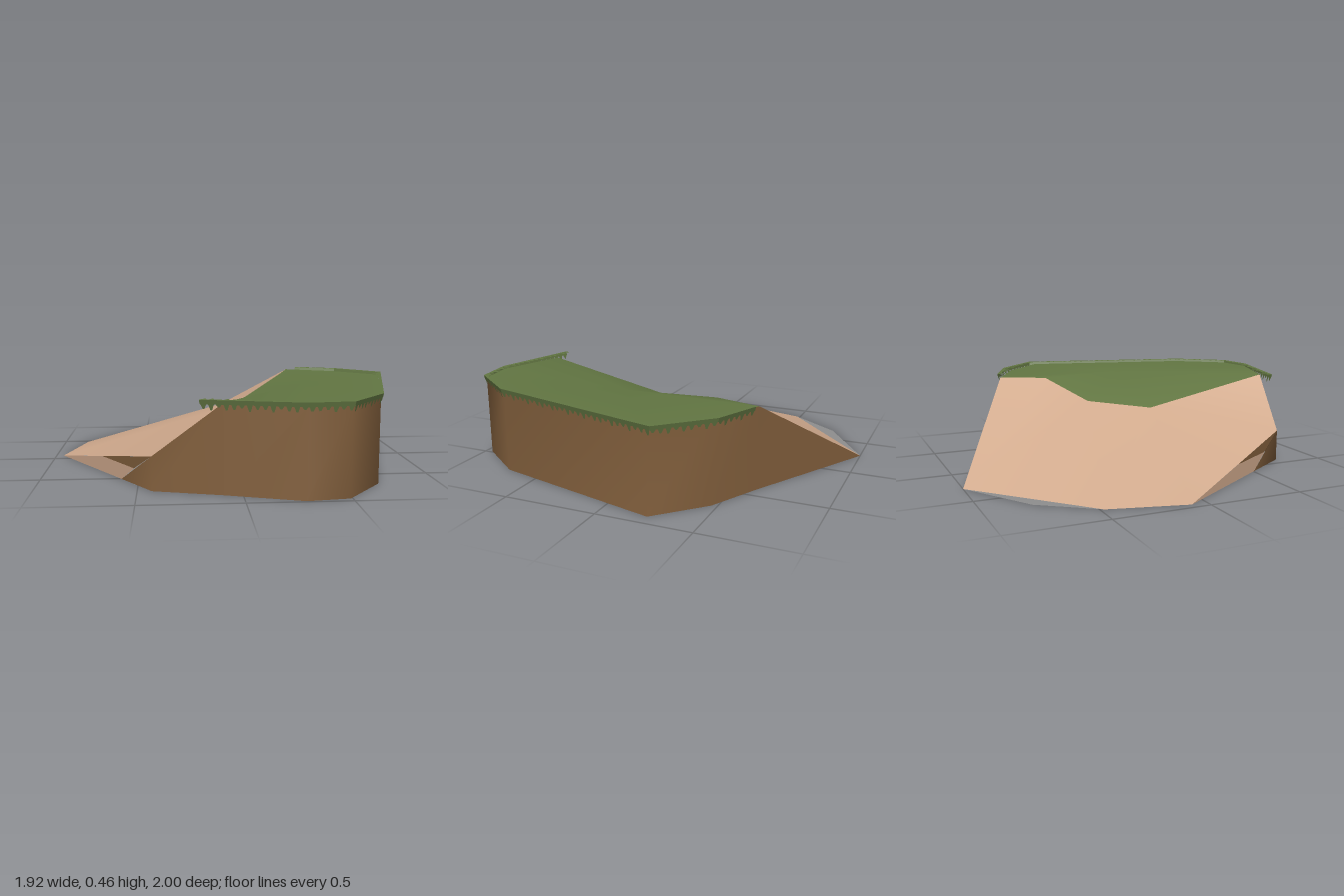
import * as THREE from 'three';

const mat = (name, color) => {
  const m = new THREE.MeshStandardMaterial({ color, side: THREE.DoubleSide });
  m.name = name;
  return m;
};

// indexed surface from points and triangles, smooth normals
function surface(points, faces) {
  const g = new THREE.BufferGeometry();
  g.setAttribute('position', new THREE.Float32BufferAttribute(points.flat(), 3));
  g.setIndex(faces.flat());
  g.computeVertexNormals();
  return g;
}

// turn the faces of a geometry over
function flip(g) {
  const ix = g.index.array;
  for (let i = 0; i < ix.length; i += 3) [ix[i], ix[i + 1]] = [ix[i + 1], ix[i]];
  g.computeVertexNormals();
  return g;
}

// flat strip with a ragged toothed edge; s runs along it, d across it
function toothedStrip(length, solid, tooth, seed) {
  const n = Math.max(2, Math.round(length / 0.036));
  const w = length / n;
  const s = new THREE.Shape();
  s.moveTo(0, 0);
  s.lineTo(0, solid);
  for (let i = 0; i < n; i++) {
    const d = solid + tooth * (0.8 + 0.3 * Math.sin(i * 2.3 + seed));
    s.lineTo((i + 0.14) * w, solid);
    s.lineTo((i + 0.4) * w, d);
    s.lineTo((i + 0.62) * w, d);
    s.lineTo((i + 0.88) * w, solid);
  }
  s.lineTo(length, solid);
  s.lineTo(length, 0);
  return new THREE.ShapeGeometry(s);
}

export function createModel() {
  const model = new THREE.Group();
  const earth = mat('brown earth', 0x83603d);
  const sand = mat('pale sand', 0xd2ab8e);
  const grass = mat('grass green', 0x637743);
  const stone = mat('grey underside', 0x8f8f8f);
  const add = (name, geometry, material, parent = model) => {
    const m = new THREE.Mesh(geometry, material);
    m.name = name;
    parent.add(m);
  };
  const top = 0.44;

  // cliff wall: x, z, top height, from the front left corner round to the back
  const rim = [
    [-0.43, 0.76, 0.17], [-0.09, 0.86, top], [0.28, 0.99, top], [0.49, 0.96, top],
    [0.69, 0.7, top], [0.93, -0.24, top], [0.695, -0.47, top], [0.42, -0.61, top], [-0.28, -1, 0],
  ];
  const wallPoints = [], wallFaces = [];
  rim.forEach(([x, z, h], i) => {
    wallPoints.push([x, 0, z], [x, h, z]);
    if (i) {
      const a = 2 * i - 2;
      wallFaces.push([a, a + 2, a + 3], [a, a + 3, a + 1]);
    }
  });
  // the wall turns the corner and ends in a slanted edge
  wallFaces.push([wallPoints.length, 0, 1]);
  wallPoints.push([-0.59, 0, 0.506]);
  add('cliffWall', surface(wallPoints, wallFaces), earth);

  // low side wall: brown under the ramp edge, sandy toward the tip
  const sideTop = [-0.7, 0.083, 0.332], sideMid = [-0.52, 0.08, 0.617];
  add('sideWall', surface([sideMid, [-0.43, 0.17, 0.76], sideTop], [[0, 1, 2]]), earth);
  add('sideWallSand', surface(
    [[-0.59, 0, 0.506], sideMid, sideTop, [-0.96, 0, -0.08]],
    [[0, 1, 2], [0, 2, 3]]), sand);

  // edge between grass and sand, dipping in the middle
  const seam = [
    [-0.09, top, 0.86], [-0.08, 0.29, 0.13], [0.11, 0.32, -0.18], [0.34, 0.435, -0.36], [0.42, top, -0.61],
  ];

  // sandy ramp from the grass edge down to the ground
  add('sandRamp', surface([
    ...seam, [-0.43, 0.17, 0.76], [-0.96, 0, -0.08], [-0.86, 0, -0.48], [-0.28, 0, -1],
  ], [[0, 1, 5], [1, 6, 5], [1, 7, 6], [1, 2, 7], [2, 8, 7], [2, 3, 8], [3, 4, 8]]), sand);

  // grass: a flat plateau fanned round one inner point, sinking to the seam
  const grassPoints = [
    [0.41, top, 0.13], ...rim.slice(1, 8).map(([x, z, h]) => [x, h, z]), seam[3], seam[2], seam[1],
  ];
  const ring = grassPoints.length - 1;
  add('grassTop', surface(grassPoints,
    Array.from({ length: ring }, (_, i) => [0, i + 1, (i + 1) % ring + 1])), grass);

  // underside, reaching past the foot of the ramp
  const outline = [...rim, [-0.66, -0.76], [-0.86, -0.48], [-0.96, -0.08]];
  const base = new THREE.Shape(outline.map(([x, z]) => new THREE.Vector2(x, -z)));
  add('underside', flip(new THREE.ShapeGeometry(base).rotateX(-Math.PI / 2)), stone);

  // ragged grass edging: one strip lying inward, one hanging down the cliff
  const edge = [[-0.205, 0.87], [0.28, 1], [0.5, 0.972], [0.7, 0.715], [0.957, -0.27], [0.72, -0.512], [0.48, -0.613]];
  const fringe = new THREE.Group();
  fringe.name = 'grassFringe';
  model.add(fringe);
  const up = new THREE.Vector3(0, 1, 0);
  for (let i = 0; i + 1 < edge.length; i++) {
    const a = new THREE.Vector3(edge[i][0], 0.455, edge[i][1]);
    const along = new THREE.Vector3(edge[i + 1][0], 0.455, edge[i + 1][1]).sub(a);
    const length = along.length();
    along.normalize();
    const inward = new THREE.Vector3().crossVectors(up, along);
    const hanging = inward.clone().multiplyScalar(0.25).sub(up).normalize();
    const strip = (name, across, outer, solid, tooth) => {
      const normal = new THREE.Vector3().crossVectors(along, across);
      const frame = new THREE.Matrix4().makeBasis(along, across, normal).setPosition(a);
      const g = toothedStrip(length, solid, tooth, i).applyMatrix4(frame);
      add(name, normal.dot(outer) < 0 ? flip(g) : g, grass, fringe);
    };
    strip('lyingFringe', inward, up, 0.018, 0.028);
    strip('hangingFringe', hanging, inward.clone().negate(), 0.022, 0.028);
  }
  return model;
}
